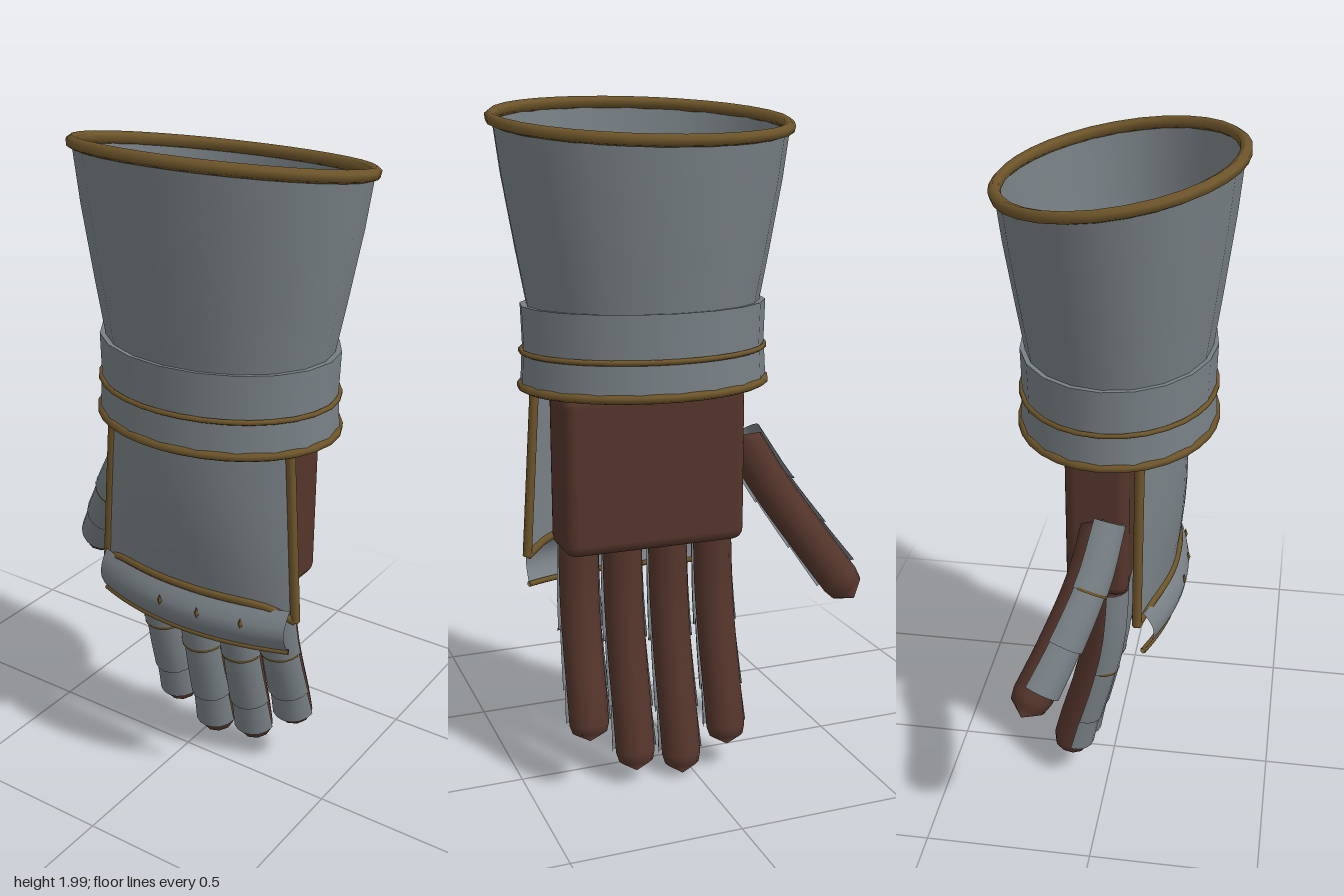
import * as THREE from 'three';
import { ParametricGeometry } from 'three/addons/geometries/ParametricGeometry.js';
import { RoundedBoxGeometry } from 'three/addons/geometries/RoundedBoxGeometry.js';

const CX = 0.105; // centre line of cuff and hand plates
const DEPTH = 0.79; // cuff depth relative to its width
const V = (x, y, z) => new THREE.Vector3(x, y, z);

function material(name, color) {
  const m = new THREE.MeshStandardMaterial({ color, side: THREE.DoubleSide });
  m.name = name;
  return m;
}

export function createModel() {
  const root = new THREE.Group();
  root.name = 'gauntlet';
  const steel = material('steel', 0x788085);
  const leather = material('leather', 0x54352b);
  const gold = material('gold', 0x6e552a);

  function add(name, geometry, mat, parent = root) {
    const mesh = new THREE.Mesh(geometry, mat);
    mesh.name = name;
    parent.add(mesh);
    return mesh;
  }
  function surface(fn, nu, nv) {
    return new ParametricGeometry((u, v, out) => out.copy(fn(u, v)), nu, nv);
  }
  function trim(name, points, radius, closed = false, parent = root) {
    const curve = new THREE.CatmullRomCurve3(points, closed);
    const steps = closed ? 32 : Math.max(8, points.length * 2);
    return add(name, new THREE.TubeGeometry(curve, steps, radius, 6, closed), gold, parent);
  }

  // Elliptical shells; the mouth of the cuff slopes down toward the back
  const tilt = (y, z) => y + (y > 1.43 ? 0.155 * z * (y - 1.43) / 0.515 : 0);
  function shell(name, profile) {
    const g = new THREE.LatheGeometry(profile.map(p => new THREE.Vector2(...p)), 20);
    g.scale(1, 1, DEPTH);
    const p = g.attributes.position;
    for (let i = 0; i < p.count; i++) p.setY(i, tilt(p.getY(i), p.getZ(i)));
    g.translate(CX, 0, 0);
    add(name, g, steel);
  }
  function hoop(name, r, y, thick) {
    const pts = [];
    for (let i = 0; i < 16; i++) {
      const a = i / 16 * Math.PI * 2;
      const z = r * DEPTH * Math.cos(a);
      pts.push(V(CX + r * Math.sin(a), tilt(y, z), z));
    }
    trim(name, pts, thick, true);
  }
  shell('cuff', [[0.312, 1.21], [0.318, 1.3], [0.34, 1.43], [0.368, 1.58], [0.403, 1.78], [0.425, 1.945]]);
  shell('upperBand', [[0.354, 1.3], [0.358, 1.432]]);
  shell('upperBandLip', [[0.335, 1.43], [0.358, 1.432]]);
  shell('lowerBand', [[0.362, 1.2], [0.356, 1.3]]);
  shell('lowerBandLip', [[0.312, 1.21], [0.362, 1.2]]);
  hoop('cuffRim', 0.422, 1.932, 0.018);
  hoop('upperBandTrim', 0.357, 1.302, 0.008);
  hoop('lowerBandTrim', 0.358, 1.203, 0.013);

  // Leather palm
  add('palm', new RoundedBoxGeometry(0.55, 0.47, 0.185, 2, 0.035), leather)
    .position.set(CX, 0.955, -0.029);

  // Curved plate over the back of the hand
  const handPlate = (u, v) => {
    const s = u * 2 - 1;
    const half = 0.298 + 0.037 * v;
    const bottom = 0.725 - 0.05 * s ** 6;
    const bulge = 0.095 + 0.015 * Math.sin(v * Math.PI) - 0.015 * v;
    return V(CX + s * half, 1.22 + (bottom - 1.22) * v, 0.1 + bulge * (1 - Math.abs(s) ** 2.3));
  };
  add('handPlate', surface(handPlate, 14, 6), steel);
  const row = [...Array(11).keys()].map(i => i / 10);
  for (const [name, u] of [['rightPlateTrim', 0], ['leftPlateTrim', 1]])
    trim(name, row.map(t => handPlate(u, t)), 0.014);
  trim('bottomPlateTrim', row.map(t => handPlate(t, 1)), 0.013);

  // Knuckle guard: a bulging strip below the hand plate
  const knuckle = (u, v) => {
    const s = u * 2 - 1;
    return V(CX + s * 0.327, 0.715 - 0.135 * v,
      0.118 + 0.065 * (1 - s * s) + 0.032 * Math.sin(v * Math.PI));
  };
  add('knuckleGuard', surface(knuckle, 14, 6), steel);
  trim('knuckleTrim', row.map(t => knuckle(t, 1)), 0.009);
  for (const x of [0.045, 0.175, 0.31]) {
    const stud = add('knuckleStud', new THREE.OctahedronGeometry(0.02), gold);
    stud.position.copy(knuckle((x - CX) / 0.654 + 0.5, 0.37));
    stud.scale.set(0.4, 1, 0.35);
  }

  // Tube or partial sleeve around a path; angle 0 points along "front"
  function sleeve(curve, front, radius, t0, t1, arc, nu, nv) {
    return surface((u, v) => {
      const t = t0 + (t1 - t0) * v;
      const a = (u - 0.5) * 2 * arc;
      const T = curve.getTangent(t);
      const S = T.clone().cross(front).normalize();
      const N = S.clone().cross(T);
      const r = radius(t, v);
      return curve.getPoint(t).addScaledVector(N, r * Math.cos(a)).addScaledVector(S, r * Math.sin(a));
    }, nu, nv);
  }

  function finger(name, points, front, r, breaks) {
    const group = new THREE.Group();
    group.name = name;
    root.add(group);
    const curve = new THREE.CatmullRomCurve3(points);
    // Leather finger with rounded ends
    const round = t => {
      const d = Math.max(0, (t - 0.9) / 0.1, (0.05 - t) / 0.05);
      return r * Math.sqrt(Math.max(0.001, 1 - d * d));
    };
    add('leatherFinger', sleeve(curve, front, round, 0, 1, Math.PI, 10, 20), leather, group);
    // Overlapping steel plates along the front
    for (let i = 0; i < 3; i++) {
      const flare = (t, v) => r + 0.005 + 0.006 * v;
      add('fingerPlate', sleeve(curve, front, flare, breaks[i] - (i ? 0.02 : 0), breaks[i + 1], 1.5, 8, 4), steel, group);
    }
    const edge = () => r + 0.0125;
    add('fingerPlateTrim', sleeve(curve, front, edge, breaks[1] - 0.009, breaks[1] + 0.004, 1.3, 8, 1), gold, group);
  }

  const fingers = [
    ['indexFinger', -0.11, -0.11, 0.08], ['middleFinger', 0.035, 0.035, 0.01],
    ['ringFinger', 0.178, 0.182, 0.045], ['littleFinger', 0.312, 0.325, 0.165],
  ];
  for (const [name, x0, x1, tip] of fingers) {
    const bends = [[0, 0], [0.3, -0.015], [0.55, -0.05], [0.8, -0.098], [1, -0.132]];
    const path = bends.map(([f, z]) => V(x0 + (x1 - x0) * f, 0.76 + (tip - 0.76) * f, z));
    finger(name, path, V(0, 0, 1), 0.058, [0.04, 0.42, 0.7, 0.89]);
  }
  finger('thumb', [V(-0.2, 1.01, 0), V(-0.285, 0.86, -0.035), V(-0.385, 0.7, -0.1), V(-0.5, 0.52, -0.19)],
    V(-0.35, 0.1, 0.9), 0.06, [0.0, 0.38, 0.66, 0.87]);

  return root;
}
